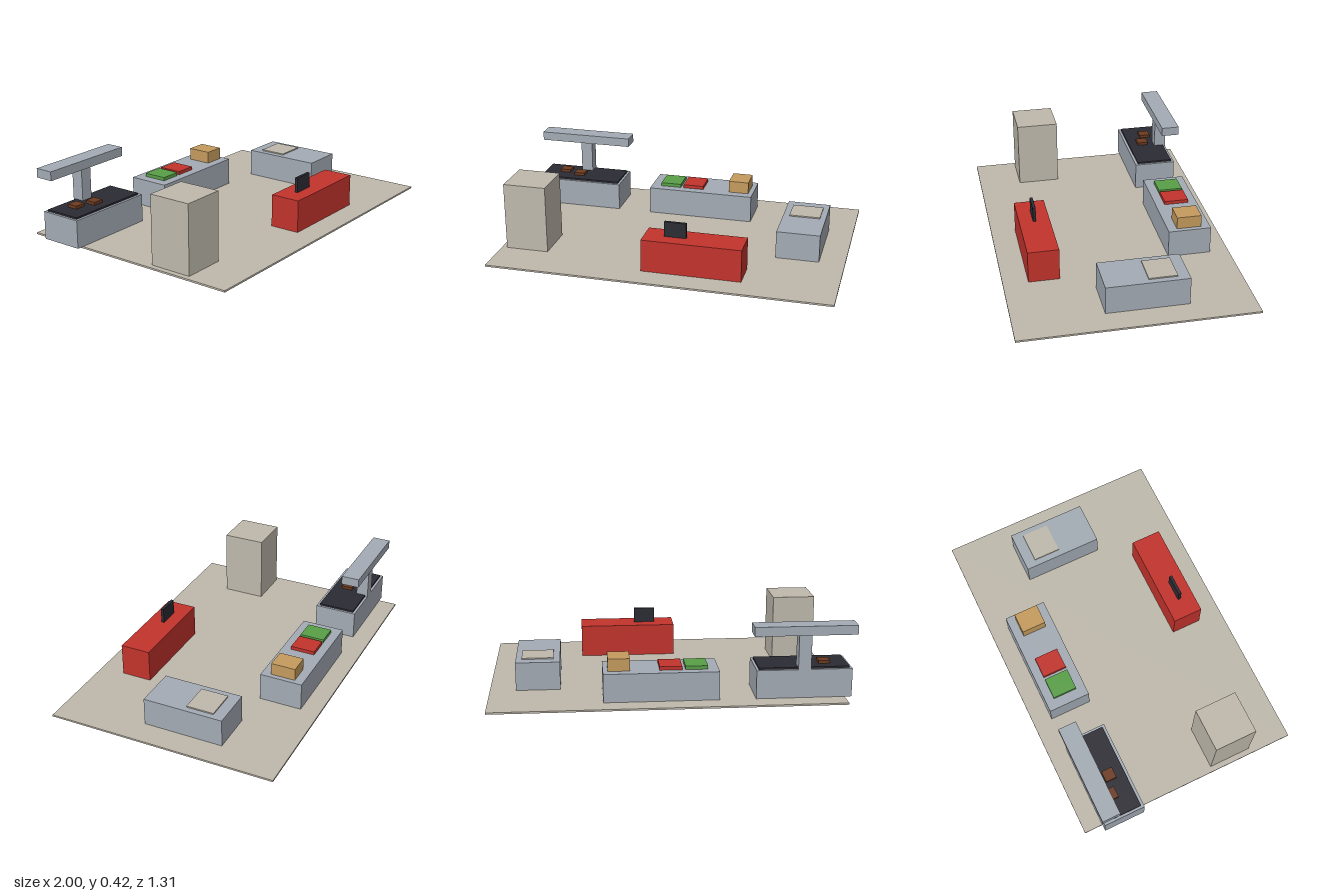
import * as THREE from 'three';

const mat = (name, color) => {
  const m = new THREE.MeshStandardMaterial({ color });
  m.name = name;
  return m;
};

export function createModel() {
  const stone = mat('warm stone', 0xbfb9ac);
  const steel = mat('steel grey', 0xa3abb4);
  const red = mat('red', 0xc2332c);
  const dark = mat('charcoal', 0x2b2b33);
  const green = mat('green', 0x589f47);
  const tan = mat('tan', 0xc49b5d);
  const brown = mat('brown', 0x6b3b20);

  const model = new THREE.Group();
  model.name = 'kitchen';

  // Box given by its extents along each axis
  const box = (parent, name, material, [x0, x1], [y0, y1], [z0, z1]) => {
    const mesh = new THREE.Mesh(new THREE.BoxGeometry(x1 - x0, y1 - y0, z1 - z0), material);
    mesh.position.set((x0 + x1) / 2, (y0 + y1) / 2, (z0 + z1) / 2);
    mesh.name = name;
    parent.add(mesh);
  };
  const station = (name) => {
    const g = new THREE.Group();
    g.name = name;
    model.add(g);
    return g;
  };

  const base = 0.01; // floor surface
  const top = 0.17; // worktop height

  box(model, 'floor', stone, [-0.944, 1], [0, base], [-0.655, 0.655]);
  box(model, 'tallCabinet', stone, [-0.913, -0.666], [base, 0.4], [0.161, 0.407]);

  // Grill with griddle, patties and extractor hood
  const grill = station('grillStation');
  box(grill, 'grillCounter', steel, [-0.982, -0.455], [base, top], [-0.547, -0.302]);
  box(grill, 'griddle', dark, [-0.968, -0.469], [top, 0.18], [-0.532, -0.318]);
  for (const [x, z] of [[-0.841, -0.442], [-0.737, -0.405]]) {
    box(grill, 'patty', brown, [x - 0.032, x + 0.032], [0.18, 0.197], [z - 0.032, z + 0.032]);
  }
  box(grill, 'hoodPost', steel, [-0.753, -0.683], [top, 0.366], [-0.547, -0.477]);
  box(grill, 'hood', steel, [-1, -0.437], [0.366, 0.418], [-0.566, -0.461]);

  // Preparation counter with trays and a bread box
  const prep = station('prepStation');
  box(prep, 'prepCounter', steel, [-0.255, 0.376], [base, top], [-0.547, -0.302]);
  box(prep, 'greenTray', green, [-0.196, -0.073], [top, 0.19], [-0.496, -0.355]);
  box(prep, 'redTray', red, [-0.055, 0.068], [top, 0.19], [-0.496, -0.355]);
  box(prep, 'breadBox', tan, [0.229, 0.349], [top, 0.24], [-0.496, -0.355]);

  // Side table with a flat tray
  const side = station('sideStation');
  box(side, 'sideTable', steel, [0.608, 0.855], [base, top], [-0.3, 0.161]);
  box(side, 'flatTray', stone, [0.645, 0.822], [top, 0.177], [-0.236, -0.078]);

  // Service counter with an upright screen
  const service = station('serviceStation');
  box(service, 'serviceCounter', red, [-0.081, 0.481], [base, 0.197], [0.339, 0.514]);
  box(service, 'screen', dark, [0.032, 0.156], [0.197, 0.284], [0.418, 0.435]);

  return model;
}
